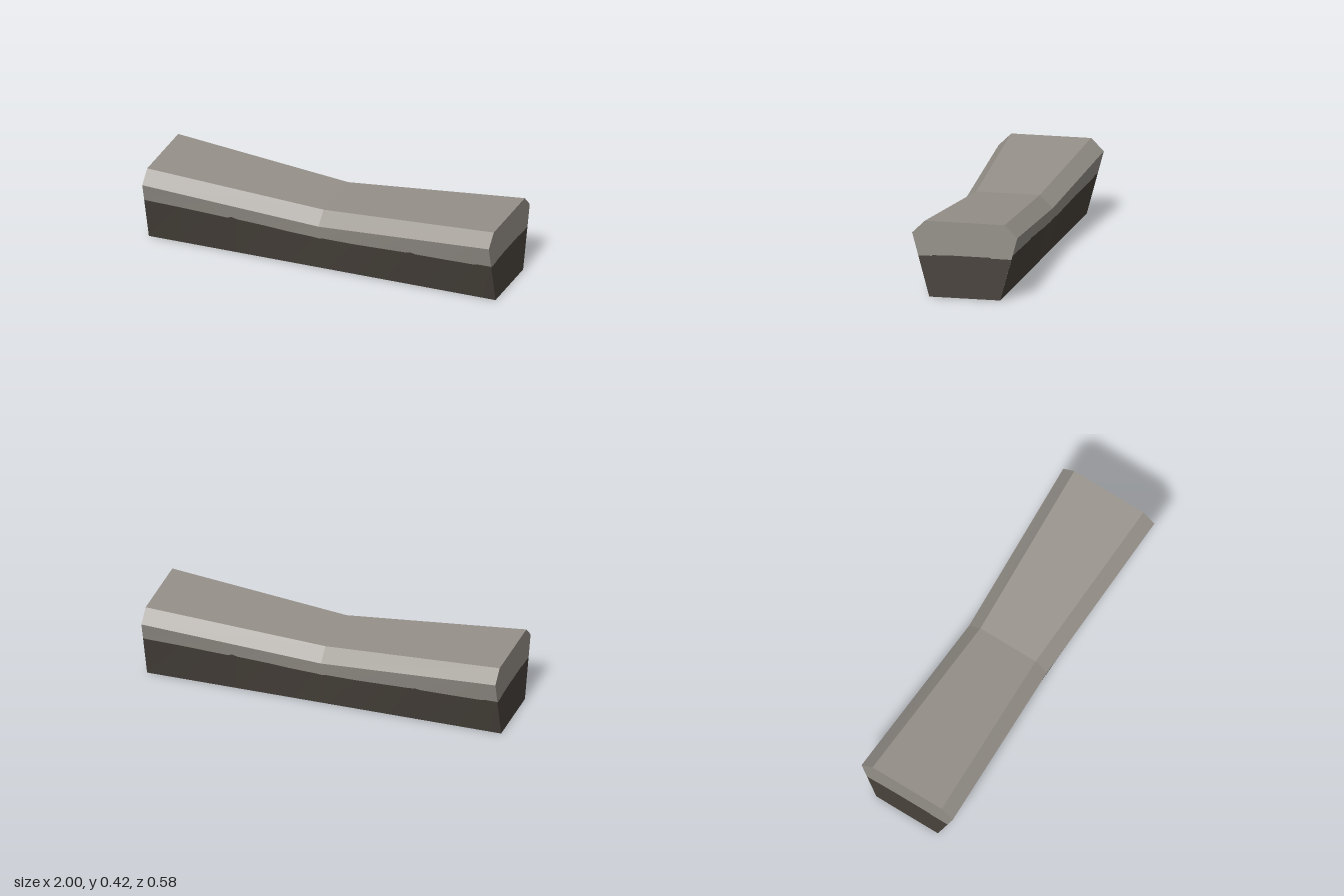
import * as THREE from 'three';

const stone = new THREE.MeshStandardMaterial({ name: 'grey stone', color: 0x959089, side: THREE.DoubleSide });
const grime = new THREE.MeshStandardMaterial({ name: 'dark base', color: 0x48423b, side: THREE.DoubleSide });

const BASE_Z = 0.195;
const lerp = THREE.MathUtils.lerp;

// Cross-section at x: the body sags and narrows towards the middle
function section(x) {
  const t = Math.abs(x);
  return {
    rimY: lerp(0.272, 0.348, t), rimZ: lerp(0.247, 0.289, t),
    topY: lerp(0.34, 0.416, t), topZ: lerp(0.175, 0.219, t),
  };
}

// Point on the leaning front wall
function wall(x, y) {
  const s = section(x);
  return [x, y, lerp(BASE_Z, s.rimZ, y / s.rimY)];
}
const rim = (x) => { const s = section(x); return [x, s.rimY, s.rimZ]; };
const shoulder = (x, side = 1) => { const s = section(x); return [x, s.topY, s.topZ * side]; };

// Flat-faced strip between a lower and an upper row of points
function strip(name, lower, upper, material) {
  const pos = [];
  for (let i = 0; i + 1 < lower.length; i++) {
    const [a, b, c, d] = [lower[i], lower[i + 1], upper[i + 1], upper[i]];
    pos.push(...a, ...b, ...c, ...a, ...c, ...d);
  }
  const g = new THREE.BufferGeometry();
  g.setAttribute('position', new THREE.Float32BufferAttribute(pos, 3));
  g.computeVertexNormals();
  const mesh = new THREE.Mesh(g, material);
  mesh.name = name;
  return mesh;
}

// Flat end panel on x = 1, outlined by [z, y] points
function endPanel(name, points, material) {
  const shape = new THREE.Shape(points.map(([z, y]) => new THREE.Vector2(-z, y)));
  const g = new THREE.ShapeGeometry(shape).rotateY(Math.PI / 2).translate(1, 0, 0);
  const mesh = new THREE.Mesh(g, material);
  mesh.name = name;
  return mesh;
}

// Uneven upper edge of the dark band: [x, y] on the wall, [z, y] on the end
const wallLine = [
  [-1, 0.247], [-0.8, 0.24], [-0.62, 0.231], [-0.53, 0.226], [-0.5, 0.235], [-0.47, 0.226],
  [-0.3, 0.216], [-0.18, 0.205], [-0.04, 0.198], [0, 0.193], [0.02, 0.198], [0.2, 0.2],
  [0.36, 0.207], [0.5, 0.213], [0.53, 0.219], [0.56, 0.213], [0.75, 0.217], [0.9, 0.221],
  [0.93, 0.227], [1, 0.228],
];
const endLine = [
  [0.255, 0.222], [0.18, 0.225], [0.178, 0.229], [0.1, 0.23], [0.09, 0.232],
  [-0.143, 0.232], [-0.145, 0.227], [-0.256, 0.227],
];

// One long wall, its chamfer and one end
function half() {
  const g = new THREE.Group();
  const e = section(1);
  const xs = [-1, 0, 1];
  const line = wallLine.map(([x, y]) => wall(x, y));
  g.add(
    strip('wallBase', wallLine.map(([x]) => wall(x, 0)), line, grime),
    strip('wallUpper', line, wallLine.map(([x]) => rim(x)), stone),
    strip('chamfer', xs.map(rim), xs.map((x) => shoulder(x)), stone),
    endPanel('endBase', [[BASE_Z, 0], [-BASE_Z, 0], ...[...endLine].reverse()], grime),
    endPanel('endUpper', [...endLine, [-e.rimZ, e.rimY], [-e.topZ, e.topY],
      [e.topZ, e.topY], [e.rimZ, e.rimY]], stone),
  );
  return g;
}

export function createModel() {
  const model = new THREE.Group();
  model.name = 'saggedBlock';

  // The two halves are half-turn copies; the underside stays open
  const front = half();
  front.name = 'frontHalf';
  const back = half();
  back.name = 'backHalf';
  back.rotation.y = Math.PI;

  const xs = [-1, 0, 1];
  const top = strip('topSurface', xs.map((x) => shoulder(x)), xs.map((x) => shoulder(x, -1)), stone);
  model.add(front, back, top);
  return model;
}
